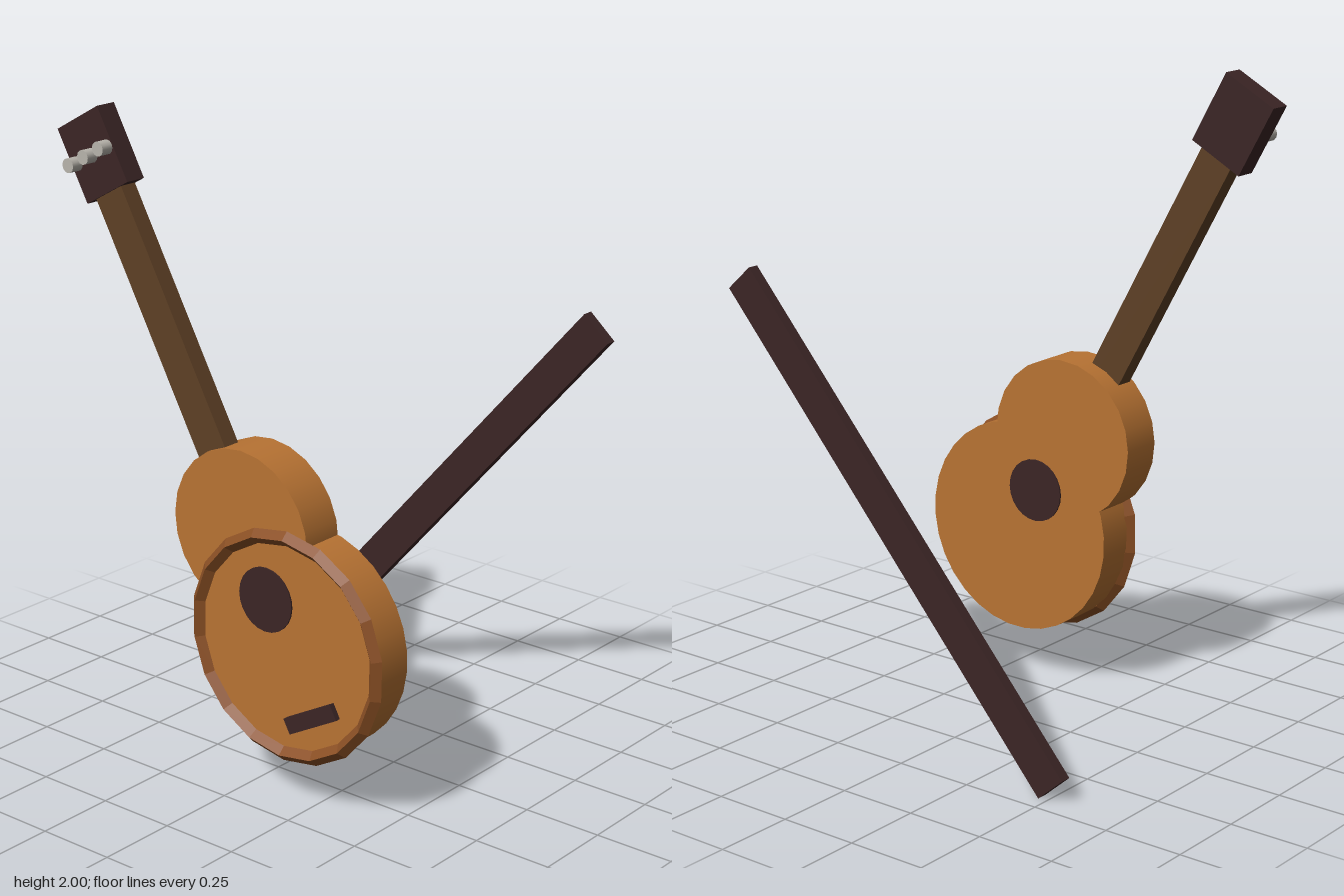
import * as THREE from 'three';

export function createModel() {
  const mat = (name, color, flatShading = false) => {
    const m = new THREE.MeshStandardMaterial({ color, flatShading });
    m.name = name;
    return m;
  };
  const wood = mat('honeyWood', 0xb87333);
  const rimWood = mat('rimWood', 0x8a4f24, true);
  const neckWood = mat('neckWood', 0x5e4025);
  const dark = mat('darkWood', 0x3b2525);
  const metal = mat('pegMetal', 0xb8b4ac);

  const model = new THREE.Group();
  model.name = 'guitarAndPlank';

  // Guitar: local y runs up the neck, the faces look along x
  const guitar = new THREE.Group();
  guitar.name = 'guitar';
  guitar.position.set(-0.35, 0.505, 0.175);
  guitar.rotation.x = -0.5;
  model.add(guitar);

  const add = (parent, name, geometry, material, x = 0, y = 0, z = 0) => {
    const mesh = new THREE.Mesh(geometry, material);
    mesh.name = name;
    mesh.position.set(x, y, z);
    parent.add(mesh);
    return mesh;
  };
  // Disc whose axis is x
  const disc = (r, depth, sides) =>
    new THREE.CylinderGeometry(r, r, depth, sides).rotateZ(Math.PI / 2);

  // Body
  add(guitar, 'lowerBout', disc(0.34, 0.14, 32), wood);
  add(guitar, 'upperBout', disc(0.255, 0.14, 24), wood, 0, 0.357, 0);
  add(guitar, 'soundHole', disc(0.1, 0.15, 24), dark, 0, 0.15, 0);
  add(guitar, 'rim', new THREE.TorusGeometry(0.34, 0.023, 4, 18).rotateY(Math.PI / 2), rimWood, -0.07, 0, 0);
  add(guitar, 'bridge', new THREE.BoxGeometry(0.025, 0.05, 0.2), dark, -0.075, -0.22, 0);

  // Neck and head
  add(guitar, 'neck', new THREE.BoxGeometry(0.058, 1.1, 0.115), neckWood, -0.025, 0.9, 0);
  add(guitar, 'head', new THREE.BoxGeometry(0.07, 0.237, 0.187), dark, -0.025, 1.537, 0);

  // Row of pegs across the head
  for (const i of [-1, 0, 1]) {
    add(guitar, 'tuningPeg', disc(0.022, 0.06, 12), metal, -0.07, 1.537, i * 0.07);
  }

  // Separate leaning plank
  const plank = add(model, 'plank', new THREE.BoxGeometry(0.035, 1.775, 0.113), dark, 0.43, 0.705, 0.074);
  plank.rotation.x = 0.724;

  return model;
}
